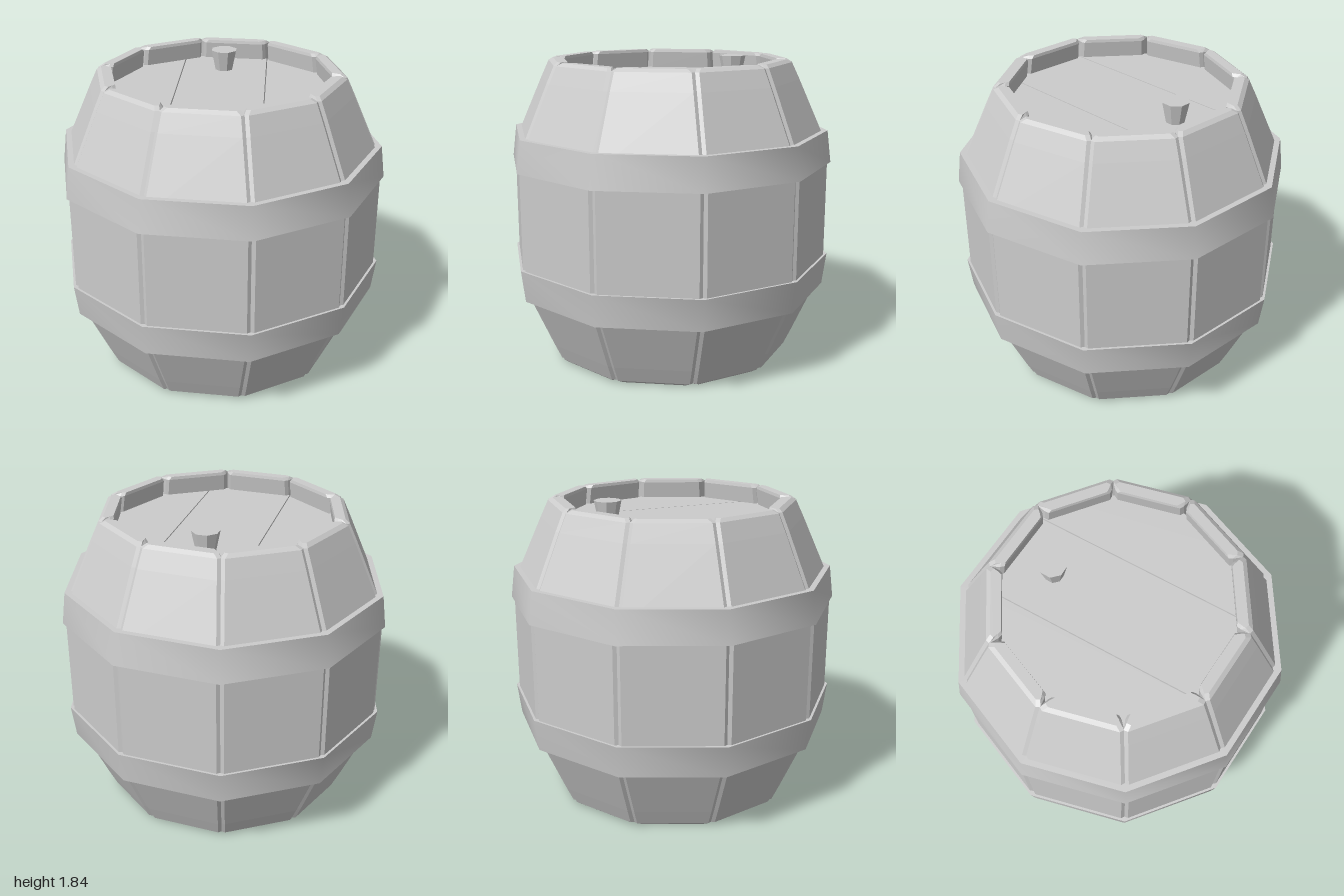
import * as THREE from 'three';
import { toCreasedNormals } from 'three/addons/utils/BufferGeometryUtils.js';

const SIDES = 10;
const HEIGHT = 1.837;
const TAN = Math.tan(Math.PI / SIDES);
const material = new THREE.MeshStandardMaterial({ color: 0xcccccc });
const faceted = new THREE.MeshStandardMaterial({ color: 0xcccccc, flatShading: true });

// Cross-section of a stave facing +z: a wedge with chamfered corners
function staveSection(y, outer, inner, inset) {
  const b = 0.018, gap = 0.004;
  const ao = outer - inset, ai = inner + inset;
  const ho = ao * TAN - gap - inset, hi = ai * TAN - gap - inset;
  return [
    [-ho + b, ao], [ho - b, ao], [ho, ao - b], [hi, ai + b],
    [hi - b, ai], [-hi + b, ai], [-hi, ai + b], [-ho, ao - b],
  ].map(([x, z]) => [x, y, z]);
}

// Stave bent at two heights, with chamfered ends
function staveGeometry() {
  const levels = [
    [0, 0.71, 0.615, 0.018], [0.018, 0.716, 0.63, 0], [0.12, 0.762, 0.645, 0], [0.53, 0.937, 0.85, 0],
  ];
  const upper = levels.map(([y, ...rest]) => [HEIGHT - y, ...rest]).reverse();
  const rings = [...levels, ...upper].map((l) => staveSection(...l));
  const n = 8, last = (rings.length - 1) * n, index = [];
  for (let j = 0; j < rings.length - 1; j++) {
    for (let i = 0; i < n; i++) {
      const a = j * n + i, b = j * n + (i + 1) % n;
      index.push(a, b, b + n, a, b + n, a + n);
    }
  }
  for (let i = 1; i < n - 1; i++) {
    index.push(last, last + i, last + i + 1, 0, i + 1, i);
  }
  const g = new THREE.BufferGeometry();
  g.setAttribute('position', new THREE.Float32BufferAttribute(rings.flat(2), 3));
  g.setIndex(index);
  const flat = g.toNonIndexed();
  flat.computeVertexNormals();
  return flat;
}

// Tapered band, widest on the side nearest the belly
function hoopGeometry(yWide, yNarrow) {
  const profile = [[0.92, yWide], [1, yWide], [0.975, yNarrow], [0.92, yNarrow], [0.92, yWide]];
  if (yWide > yNarrow) profile.reverse();
  const points = profile.map(([r, y]) => new THREE.Vector2(r, y));
  const g = new THREE.LatheGeometry(points, SIDES, Math.PI / 2);
  return toCreasedNormals(g, 0.8);
}

// Slice of a round board between x = a and x = b
function plankGeometry(a, b, radius, thickness) {
  const near = [], far = [], steps = 10;
  for (let i = 0; i <= steps; i++) {
    const x = a + (b - a) * i / steps;
    const z = Math.sqrt(Math.max(0, radius * radius - x * x));
    near.push(new THREE.Vector2(x, -z));
    far.unshift(new THREE.Vector2(x, z));
  }
  const g = new THREE.ExtrudeGeometry(new THREE.Shape([...near, ...far]), { depth: thickness, bevelEnabled: false });
  return g.rotateX(-Math.PI / 2);
}

export function createModel() {
  const barrel = new THREE.Group();
  barrel.name = 'barrel';
  const add = (name, geometry, parent = barrel, mat = material) => {
    const mesh = new THREE.Mesh(geometry, mat);
    mesh.name = name;
    parent.add(mesh);
    return mesh;
  };

  // Ring of staves
  const staves = new THREE.Group();
  staves.name = 'staves';
  barrel.add(staves);
  const stave = staveGeometry();
  for (let i = 0; i < SIDES; i++) {
    add('stave', stave, staves, faceted).rotation.y = i * 2 * Math.PI / SIDES;
  }

  // Two hoops
  add('lowerHoop', hoopGeometry(0.625, 0.43));
  add('upperHoop', hoopGeometry(HEIGHT - 0.625, HEIGHT - 0.43));

  // Recessed planked ends, slightly turned
  const R = 0.7, T = 0.04, seam = 0.265, gap = 0.003;
  for (const [name, y] of [['lid', HEIGHT - 0.12 - T], ['base', 0.12]]) {
    const end = new THREE.Group();
    end.name = name;
    end.position.y = y;
    end.rotation.y = 0.078;
    barrel.add(end);
    for (const [a, b] of [[-R, -seam - gap], [-seam + gap, seam - gap], [seam + gap, R]]) {
      add('plank', plankGeometry(a, b, R, T), end, faceted);
    }
  }

  // Tapered stopper near the back of the lid
  const cork = add('cork', new THREE.CylinderGeometry(0.082, 0.053, 0.14, 8), barrel, faceted);
  cork.position.set(-0.035, 1.772, -0.41);
  cork.rotation.y = Math.PI / 8 + 0.05;

  return barrel;
}
